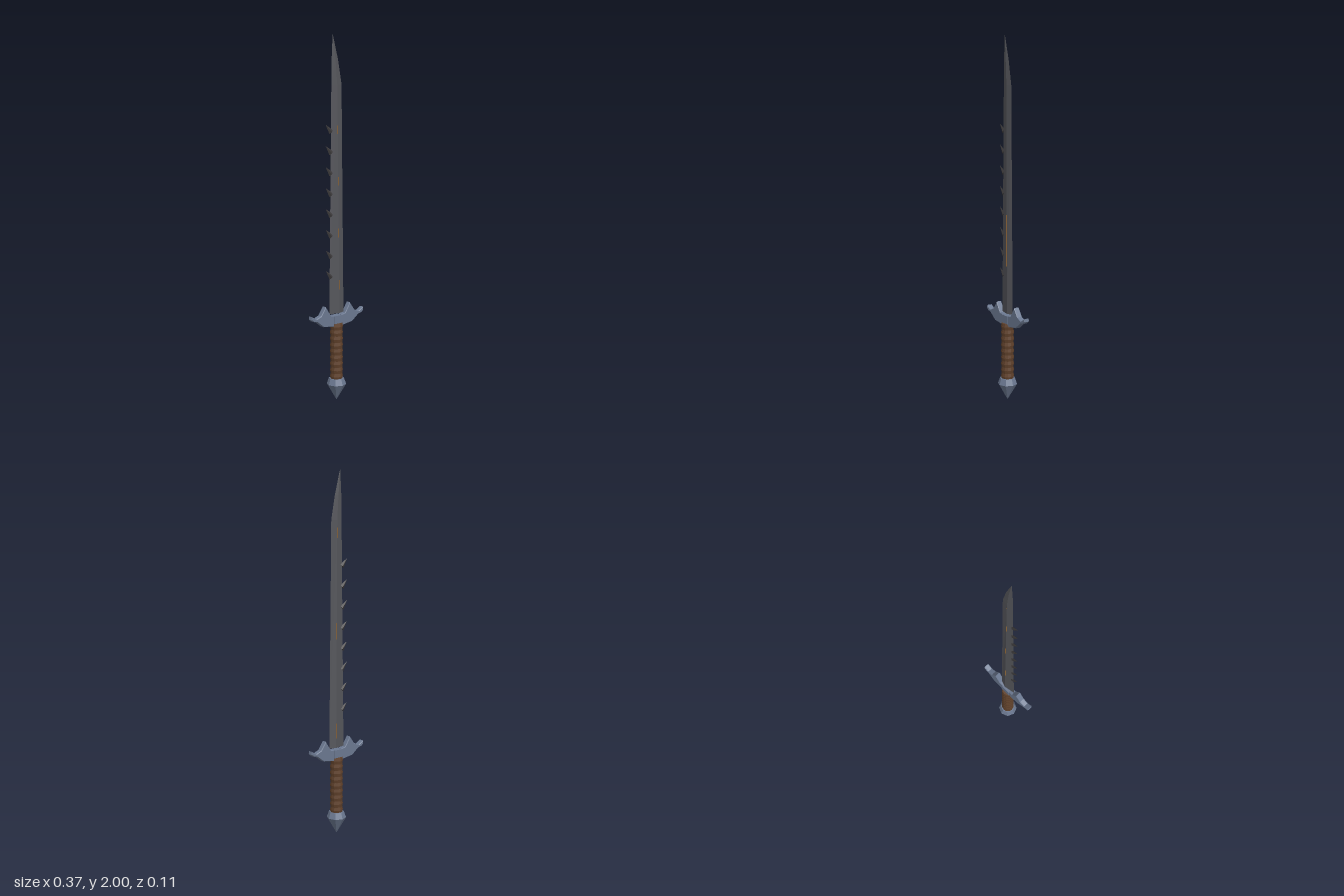
import * as THREE from 'three';

const mat = (color) => new THREE.MeshStandardMaterial({ color, flatShading: true });
const steel = mat(0x55565b), darkSteel = mat(0x3c3a3b), blueSteel = mat(0x6b7890);
const leather = mat(0x60412b), orange = mat(0xc87a20);

// Diamond cross-sections [y, left, ridge, right, half thickness] joined bottom to top
function loft(sections) {
  const pos = [], idx = [], n = sections.length;
  for (const [y, l, m, r, t] of sections) pos.push(l, y, 0, m, y, t, r, y, 0, m, y, -t);
  for (let i = 0; i < n - 1; i++) {
    for (let k = 0; k < 4; k++) {
      const a = i * 4 + k, b = i * 4 + (k + 1) % 4;
      idx.push(a, b, b + 4, a, b + 4, a + 4);
    }
  }
  const e = (n - 1) * 4;
  idx.push(0, 2, 1, 0, 3, 2, e, e + 1, e + 2, e, e + 2, e + 3);
  const g = new THREE.BufferGeometry();
  g.setAttribute('position', new THREE.Float32BufferAttribute(pos, 3));
  g.setIndex(idx);
  g.computeVertexNormals();
  return g;
}

export function createModel() {
  const model = new THREE.Group();
  const add = (name, geometry, material, parent = model) => {
    const mesh = new THREE.Mesh(geometry, material);
    mesh.name = name;
    parent.add(mesh);
    return mesh;
  };

  // Blade with a slanted tip
  add('blade', loft([
    [0.495, -0.05, 0.012, 0.05, 0.012],
    [1.74, -0.035, 0, 0.035, 0.007],
    [1.87, -0.033, -0.01, 0.011, 0.005],
    [2, -0.026, -0.025, -0.024, 0.0005],
  ]), steel);

  // Thin glowing line along the ridge
  add('ridgeLine', loft([
    [0.55, 0.0093, 0.0113, 0.0133, 0.0124],
    [1.7, -0.002, 0.0004, 0.0025, 0.0077],
  ]), orange);

  // Row of barbs on the back edge
  const barbs = new THREE.Group();
  barbs.name = 'barbs';
  model.add(barbs);
  for (let i = 0; i < 8; i++) {
    const barb = add('barb', new THREE.ConeGeometry(0.016, 0.055, 4), darkSteel, barbs);
    barb.scale.z = 0.5;
    barb.rotation.z = 0.75;
    barb.position.set(-0.055, 0.72 + i * 0.113, 0);
  }

  // Guard wings, mirrored left and right
  const wing = [[0.026, 0.483], [0.052, 0.487], [0.085, 0.54], [0.115, 0.496], [0.15, 0.482],
    [0.178, 0.5], [0.18, 0.488], [0.168, 0.477], [0.145, 0.472], [0.1, 0.437], [0.026, 0.426]];
  for (const side of [1, -1]) {
    const shape = new THREE.Shape(wing.map(([x, y]) => new THREE.Vector2(x * side, y)));
    const g = new THREE.ExtrudeGeometry(shape, {
      depth: 0.024, bevelEnabled: true, bevelSegments: 1, bevelSize: 0.003, bevelThickness: 0.004,
    });
    g.translate(0, 0, -0.012);
    add(side > 0 ? 'leftGuard' : 'rightGuard', g, blueSteel);
  }
  add('guardCollar', new THREE.BoxGeometry(0.054, 0.054, 0.04), blueSteel).position.y = 0.457;

  // Grip with wrapped ridges
  const profile = [new THREE.Vector2(0, 0.12)];
  const rings = 18;
  for (let i = 0; i <= rings; i++) {
    profile.push(new THREE.Vector2(i % 2 ? 0.036 : 0.033, 0.12 + (0.32 * i) / rings));
  }
  profile.push(new THREE.Vector2(0, 0.44));
  add('grip', new THREE.LatheGeometry(profile, 12), leather);

  // Faceted pommel ending in a point
  const pommel = [[0, 0], [0.054, 0.092], [0.042, 0.126], [0, 0.126]];
  add('pommel', new THREE.LatheGeometry(pommel.map(([r, y]) => new THREE.Vector2(r, y)), 8), blueSteel);

  return model;
}
